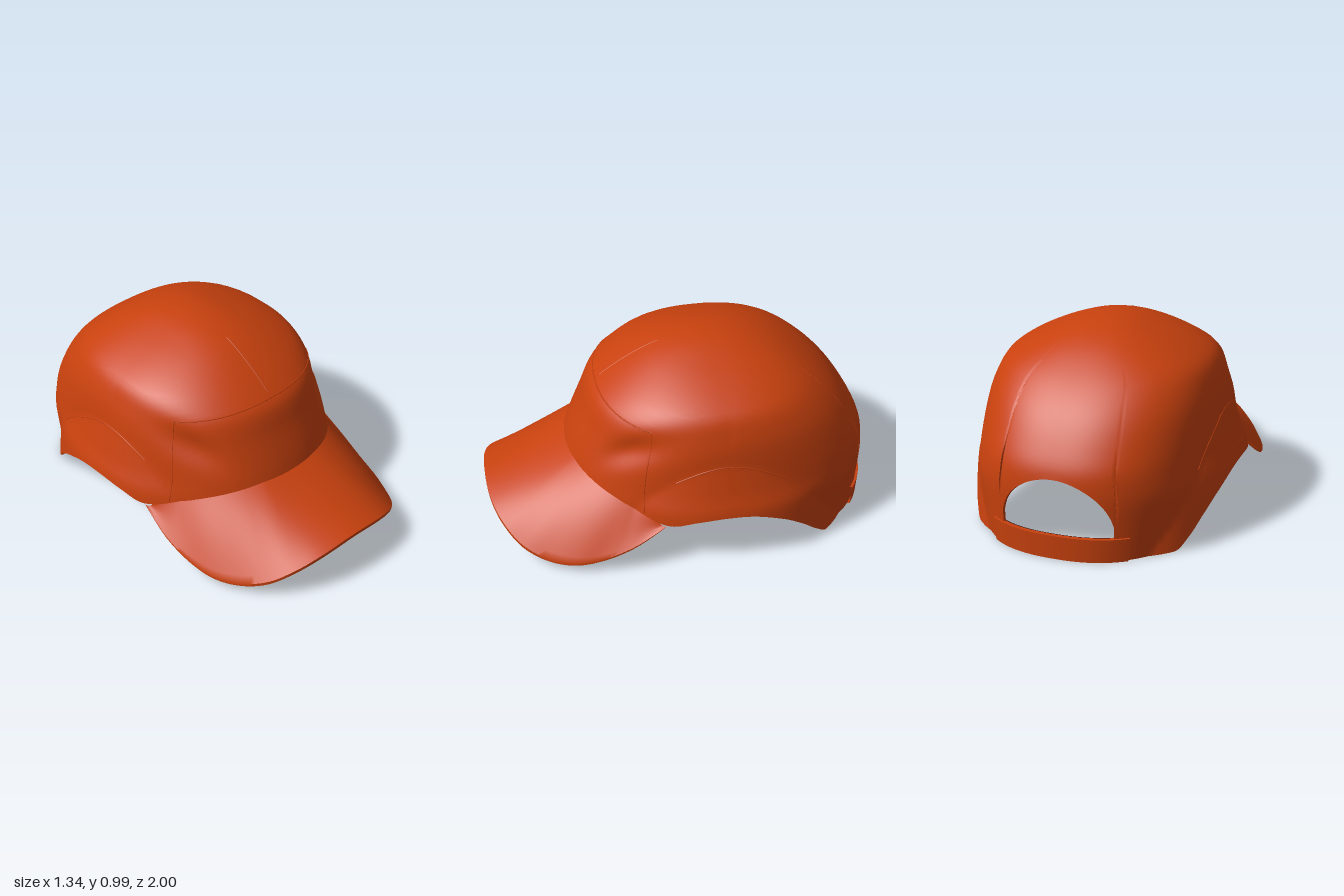
import * as THREE from 'three';
import { toCreasedNormals } from 'three/addons/utils/BufferGeometryUtils.js';

const H = 0.99, ZC = -0.18, HALF_PI = Math.PI / 2;
const clamp = THREE.MathUtils.clamp;

// Smooth lookup through [key, value] pairs
function table(pairs) {
  const n = pairs.length;
  const slope = pairs.map((_, i) => {
    const a = pairs[Math.max(i - 1, 0)], b = pairs[Math.min(i + 1, n - 1)];
    return (b[1] - a[1]) / (b[0] - a[0]);
  });
  return (k) => {
    k = clamp(k, pairs[0][0], pairs[n - 1][0]);
    let i = 0;
    while (i < n - 2 && k > pairs[i + 1][0]) i++;
    const [x0, y0] = pairs[i], [x1, y1] = pairs[i + 1], h = x1 - x0, t = (k - x0) / h;
    const t2 = t * t, t3 = t2 * t;
    return y0 * (2 * t3 - 3 * t2 + 1) + slope[i] * h * (t3 - 2 * t2 + t)
      + y1 * (3 * t2 - 2 * t3) + slope[i + 1] * h * (t3 - t2);
  };
}
const toPhi = (y) => Math.asin(clamp(y / H, 0, 1));
const byHeight = (pairs) => {
  const f = table(pairs.map(([y, v]) => [toPhi(y), v]));
  return (y) => f(toPhi(y));
};

// Crown extents by height: front, back, half-width
const frontZ = byHeight([[0, 0.6], [0.3, 0.59], [0.4, 0.57], [0.6, 0.49], [0.73, 0.435], [0.78, 0.38], [0.87, 0.25], [0.95, 0.08], [H, ZC]]);
const backZ = byHeight([[0, -0.98], [0.12, -0.985], [0.4, -0.985], [0.53, -0.93], [0.7, -0.81], [0.87, -0.6], [0.96, -0.4], [H, ZC]]);
const halfX = byHeight([[0, 0.58], [0.3, 0.62], [0.4, 0.605], [0.6, 0.583], [0.7, 0.56], [0.8, 0.51], [0.85, 0.44], [0.9, 0.34], [0.95, 0.21], [H, 0]]);
// Lower edge height along the side
const edgeY = table([[-1, 0], [-0.75, 0], [-0.68, 0.005], [-0.62, 0.06], [-0.55, 0.14], [-0.45, 0.22], [-0.3, 0.285], [-0.15, 0.3], [0, 0.285], [0.15, 0.255], [0.4, 0.345], [0.57, 0.4]]);
const archY = (z) => 0.56 - 0.26 * ((z + 0.15) / 0.45) ** 2;

// Point on the crown; angle a is PI/2 at the front, -PI/2 at the back
function crownPoint(a, y, off = 0) {
  const c = Math.cos(a), s = Math.sin(a), e = 2 / (s > 0 ? 2.2 : 2.4);
  const x = halfX(y) * Math.sign(c) * Math.abs(c) ** e;
  const rz = (s > 0 ? frontZ(y) - ZC : ZC - backZ(y)) * Math.sign(s) * Math.abs(s) ** e;
  // Flare under the side arch, soft dents at the front corners
  let d = off + 0.05 * clamp((archY(rz + ZC) - y) / 0.25, 0, 1);
  if (s > 0) {
    const u = (Math.abs(x) - 0.43) / 0.09, v = (y - 0.6 - (Math.abs(x) - 0.43) * 0.6) / 0.08;
    d -= 0.03 * Math.exp(-u * u - v * v);
  }
  const k = 1 + d / Math.max(Math.hypot(x, rz), 0.35);
  return new THREE.Vector3(x * k, y + off * (y / H) ** 2, ZC + rz * k);
}

// Lower edge including the arched opening at the back
function rim(a) {
  const p = crownPoint(a, 0.25);
  if (p.z < -0.7 && Math.abs(p.x) < 0.3) return 0.1 + 0.3 * Math.sqrt(1 - (p.x / 0.3) ** 2);
  return Math.max(0, edgeY(p.z));
}

// Surface from a rule: fn(u, row) gives a point, u runs 0..1
function surface(cols, rows, fn, crease = 0.7) {
  const pos = [], index = [];
  for (let i = 0; i <= cols; i++) {
    for (let j = 0; j <= rows; j++) {
      pos.push(...fn(i / cols, j).toArray());
      if (i < cols && j < rows) {
        const a = i * (rows + 1) + j, b = a + rows + 1;
        index.push(a, a + 1, b, b, a + 1, b + 1);
      }
    }
  }
  const g = new THREE.BufferGeometry();
  g.setAttribute('position', new THREE.Float32BufferAttribute(pos, 3));
  g.setIndex(index);
  return toCreasedNormals(g, crease);
}

export function createModel() {
  const cap = new THREE.Group();
  cap.name = 'cap';
  const fabric = new THREE.MeshStandardMaterial({ color: 0xc8410e, side: THREE.DoubleSide });
  fabric.name = 'orange fabric';
  const dark = new THREE.MeshStandardMaterial({ color: 0x260d10, side: THREE.DoubleSide });
  dark.name = 'dark strap lining';
  const add = (name, geometry, material = fabric) => {
    const m = new THREE.Mesh(geometry, material);
    m.name = name;
    cap.add(m);
  };

  // Crown: outer skin down to the rim, then the lining back up
  const N = 36;
  add('crown', surface(288, 2 * N + 1, (u, j) => {
    const a = -HALF_PI - u * 2 * Math.PI;
    const inner = j > N, t = inner ? (j - N - 1) / N : 1 - j / N;
    const low = toPhi(rim(a));
    return crownPoint(a, H * Math.sin(low + (HALF_PI - low) * t), inner ? -0.014 : 0);
  }));

  // Brim: from the crown's front edge out to a drooping outer edge
  const side = [[0.2, 0.22, 0.985], [0.33, 0.17, 0.94], [0.44, 0.105, 0.86], [0.52, 0.065, 0.75], [0.58, 0.058, 0.62], [0.61, 0.085, 0.48], [0.625, 0.15, 0.32], [0.615, 0.25, 0.15]];
  const outer = new THREE.CatmullRomCurve3([
    ...side.slice().reverse().map(([x, y, z]) => new THREE.Vector3(-x, y, z)),
    new THREE.Vector3(0, 0.245, 1),
    ...side.map(([x, y, z]) => new THREE.Vector3(x, y, z)),
  ]);
  add('brim', surface(96, 25, (u, j) => {
    const top = j < 13, s = top ? j / 12 : (25 - j) / 12;
    const a = HALF_PI - (2 * u - 1) * (HALF_PI - 0.43);
    const p = crownPoint(a, rim(a), -0.004), w = Math.sin(Math.PI * u);
    p.lerp(outer.getPoint(u), s);
    p.y += 0.025 * Math.sin(Math.PI * s) * (Math.sin(2 * Math.PI * u) ** 2 - 0.4) - (top ? 0 : 0.018 * Math.sqrt(w));
    p.x += 0.015 * s * w;
    return p;
  }));

  // Sweatband inside the front and sides
  add('sweatband', surface(80, 1, (u, j) => {
    const a = -0.2 + u * (Math.PI + 0.4);
    return crownPoint(a, rim(a) + 0.005 + 0.1 * j, -0.022);
  }));

  // Rear strap: closed band with a dark inner face
  const strapSection = [[0, -0.012], [0, 0.012], [0.12, 0.012], [0.12, -0.012], [0, -0.012]];
  const strapAngle = (u, half) => -HALF_PI + (2 * u - 1) * half;
  add('strap', surface(40, 4, (u, j) => crownPoint(strapAngle(u, 0.55), ...strapSection[j])));
  add('strapLining', surface(48, 1, (u, j) => crownPoint(strapAngle(u, 0.95), 0.005 + 0.113 * j, -0.02)), dark);

  // Raised seams following the crown
  const seam = (name, fn) => {
    const pts = Array.from({ length: 25 }, (_, i) => fn(i / 24));
    add(name, new THREE.TubeGeometry(new THREE.CatmullRomCurve3(pts), 60, 0.004, 6));
  };
  seam('frontSeam', (t) => {
    const a = 0.62 + t * (Math.PI - 1.24);
    return crownPoint(a, 0.76 - 0.05 * Math.cos(a) ** 2, -0.001);
  });
  seam('topSeam', (t) => crownPoint(HALF_PI, 0.78 + 0.17 * t, -0.002));
  for (const [label, flip] of [['left', false], ['right', true]]) {
    const at = (a) => (flip ? Math.PI - a : a);
    seam(label + 'PanelSeam', (t) => crownPoint(at(0.55 + 0.07 * t), 0.3 + 0.42 * t, -0.002));
    seam(label + 'ArchSeam', (t) => {
      const a = at(-0.4 + 0.75 * t);
      return crownPoint(a, archY(crownPoint(a, 0.45).z), -0.001);
    });
  }
  return cap;
}
